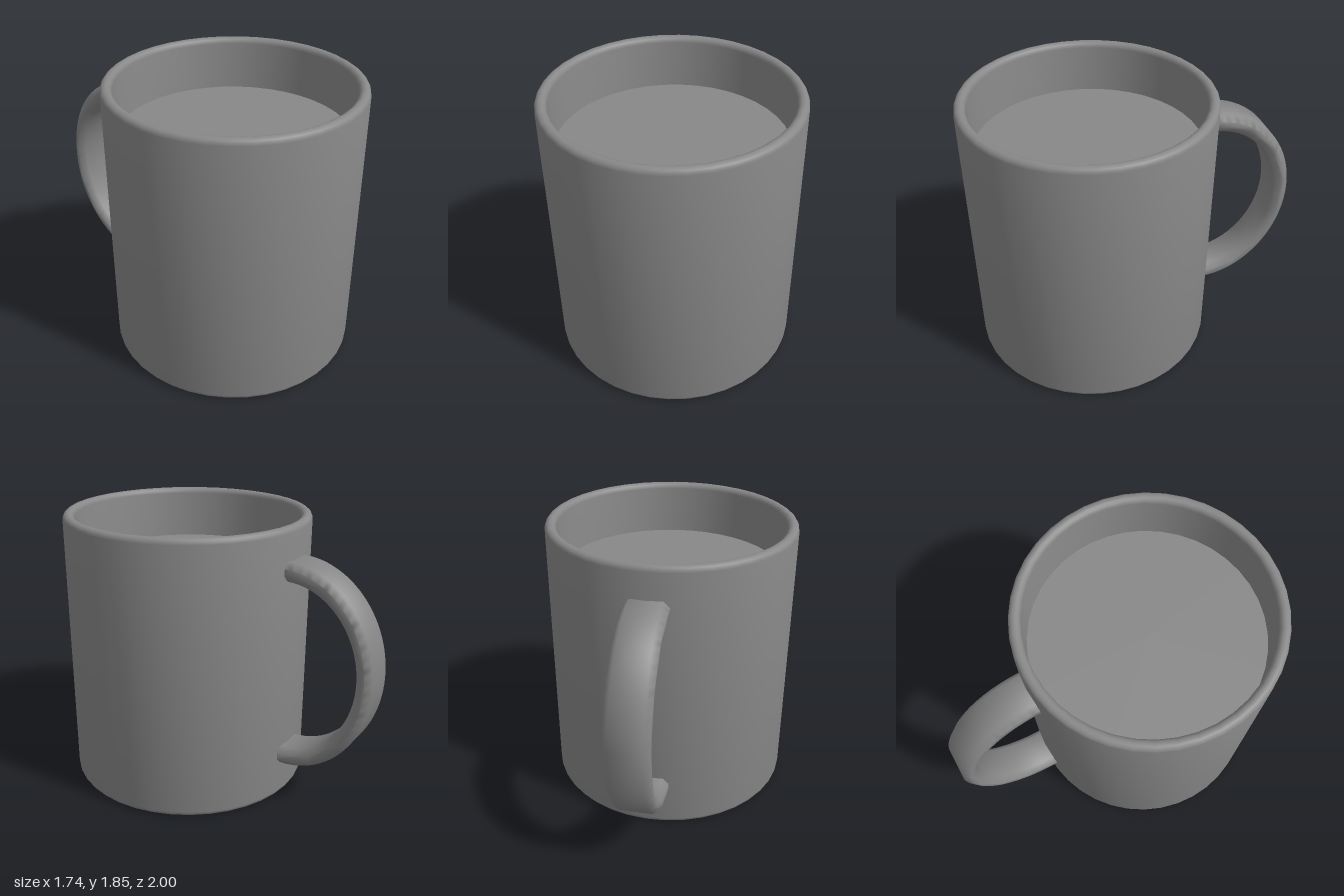
import * as THREE from 'three';
import { toCreasedNormals } from 'three/addons/utils/BufferGeometryUtils.js';

const material = new THREE.MeshStandardMaterial({ color: 0x888888 });
const R = 0.815, INNER = 0.742, HEIGHT = 1.845, SIDES = 40;

function part(name, geometry) {
  const mesh = new THREE.Mesh(geometry, material);
  mesh.name = name;
  return mesh;
}

// Points of a quarter or half round between two angles
function arc(cx, cy, r, from, to, steps) {
  return Array.from({ length: steps + 1 }, (_, i) => {
    const a = from + (to - from) * i / steps;
    return new THREE.Vector2(cx + r * Math.cos(a), cy + r * Math.sin(a));
  });
}

// Turned cup wall with rounded foot and rim, open inside
function cup() {
  const rim = (R - INNER) / 2;
  const profile = [
    new THREE.Vector2(0, 0),
    ...arc(R - 0.035, 0.035, 0.035, -Math.PI / 2, 0, 4),
    ...arc(R - rim, HEIGHT - rim, rim, 0, Math.PI, 8),
    new THREE.Vector2(INNER, 0.08),
    new THREE.Vector2(0, 0.08),
  ];
  return part('cup', toCreasedNormals(new THREE.LatheGeometry(profile, SIDES), 0.6));
}

// Flat surface of the drink
function drink() {
  const disc = new THREE.CircleGeometry(INNER, SIDES);
  disc.rotateX(-Math.PI / 2);
  disc.translate(0, 1.49, 0);
  return part('drinkSurface', disc);
}

// Half-oval band with chamfered edges, its ends sunk into the wall
function handle() {
  const bevel = 0.04, cx = 0.81, cy = 0.94, root = 0.8, width = 0.2;
  const [oa, ob] = [0.595 - bevel, 0.695 - bevel];
  const [ia, ib] = [0.49 + bevel, 0.57 + bevel];
  const shape = new THREE.Shape();
  shape.moveTo(root, cy - ob);
  shape.lineTo(cx, cy - ob);
  shape.absellipse(cx, cy, oa, ob, -Math.PI / 2, Math.PI / 2, false);
  shape.lineTo(root, cy + ob);
  shape.lineTo(root, cy + ib);
  shape.lineTo(cx, cy + ib);
  shape.absellipse(cx, cy, ia, ib, Math.PI / 2, -Math.PI / 2, true);
  shape.lineTo(root, cy - ib);
  const geometry = new THREE.ExtrudeGeometry(shape, {
    depth: width, bevelSize: bevel, bevelThickness: 0.036, bevelSegments: 1, curveSegments: 28,
  });
  geometry.translate(0, 0, -width / 2);
  const mesh = part('handle', toCreasedNormals(geometry, 0.9));
  mesh.rotation.y = Math.atan2(0.8, -0.6);
  return mesh;
}

export function createModel() {
  const mug = new THREE.Group();
  mug.name = 'mug';
  mug.add(cup(), drink(), handle());
  mug.position.set(0.06, 0, 0.185);
  const model = new THREE.Group();
  model.add(mug);
  return model;
}
